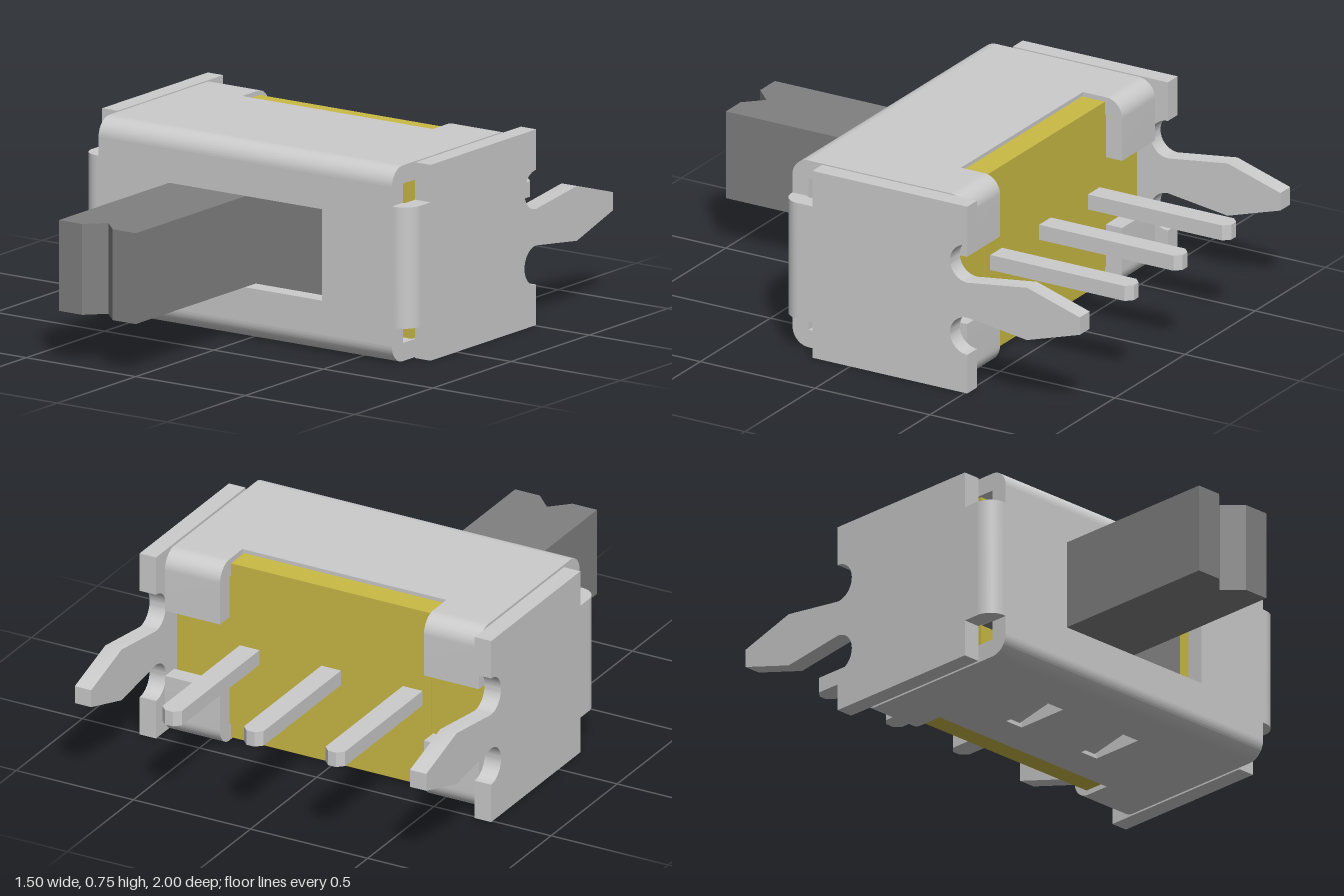
import * as THREE from 'three';
import { toCreasedNormals } from 'three/addons/utils/BufferGeometryUtils.js';

const H = 0.75;   // overall height
const T = 0.07;   // sheet thickness
const metal = new THREE.MeshStandardMaterial({ color: 0xcccccc });
const plastic = new THREE.MeshStandardMaterial({ color: 0xcaba45 });
const dark = new THREE.MeshStandardMaterial({ color: 0x808080 });

function add(parent, name, geometry, material) {
  const mesh = new THREE.Mesh(geometry, material);
  mesh.name = name;
  parent.add(mesh);
  return mesh;
}

// Box from its limits
function box(x0, x1, y0, y1, z0, z1) {
  return new THREE.BoxGeometry(x1 - x0, y1 - y0, z1 - z0)
    .translate((x0 + x1) / 2, (y0 + y1) / 2, (z0 + z1) / 2);
}

function polygon(points) {
  return new THREE.Shape(points.map(([a, b]) => new THREE.Vector2(a, b)));
}

function rect(x0, x1, y0, y1) {
  return polygon([[x0, y0], [x1, y0], [x1, y1], [x0, y1]]);
}

function extrude(shape, depth) {
  const g = new THREE.ExtrudeGeometry(shape, { depth, bevelEnabled: false, curveSegments: 12 });
  return toCreasedNormals(g, 0.5);
}

// Shape drawn in (z, y), swept from x0 to x1
function alongX(shape, x0, x1) {
  return extrude(shape, x1 - x0).rotateY(-Math.PI / 2).translate(x1, 0, 0);
}

// Shape drawn in (x, z), swept from y0 to y1
function alongY(shape, y0, y1) {
  return extrude(shape, y1 - y0).rotateX(Math.PI / 2).translate(0, y1, 0);
}

// Group turned half way round the z axis through the middle height
function turned(parent, name, half) {
  const g = new THREE.Group();
  g.name = name;
  if (half) {
    g.rotation.z = Math.PI;
    g.position.y = H;
  }
  parent.add(g);
  return g;
}

// Quarter-round bend with its centre at (a, b), bulging to +a and +b
function bend(a, b) {
  const s = new THREE.Shape();
  s.moveTo(a, b);
  s.lineTo(a + T, b);
  s.absarc(a, b, T, 0, Math.PI / 2, false);
  s.lineTo(a, b);
  return s;
}

// Side plate outline in (z, y) with relief cutouts and a locking leg
function sideShape() {
  const s = new THREE.Shape();
  s.moveTo(0.165, 0);
  s.lineTo(0.165, H);
  s.lineTo(-0.51, H);
  s.lineTo(-0.51, 0.595);
  s.absarc(-0.51, 0.52, 0.075, Math.PI / 2, -Math.PI / 2, true);
  s.lineTo(-0.77, 0.48);
  s.lineTo(-1, 0.41);
  s.lineTo(-1, 0.34);
  s.lineTo(-0.77, 0.27);
  s.lineTo(-0.51, 0.305);
  s.absarc(-0.51, 0.23, 0.075, Math.PI / 2, -Math.PI / 2, true);
  s.lineTo(-0.51, 0);
  return s;
}

// Rear retaining tab in (z, y): runs back, then folds down
function tabShape() {
  const s = new THREE.Shape();
  s.moveTo(-0.29, H);
  s.lineTo(-0.39, H);
  s.absarc(-0.39, H - T, T, Math.PI / 2, Math.PI, false);
  s.lineTo(-0.46, 0.51);
  s.lineTo(-0.39, 0.51);
  s.lineTo(-0.39, H - T);
  s.lineTo(-0.29, H - T);
  return s;
}

export function createModel() {
  const model = new THREE.Group();
  model.name = 'slideSwitch';

  // Sheet-metal shell
  const shell = new THREE.Group();
  shell.name = 'shell';
  model.add(shell);

  const front = rect(-0.67, 0.67, T, H - T);
  front.holes.push(rect(-0.35, 0.35, 0.2, 0.55));
  add(shell, 'frontPlate', extrude(front, T).translate(0, 0, 0.23), metal);

  for (const bottom of [false, true]) {
    const g = turned(shell, bottom ? 'bottomFold' : 'topFold', bottom);
    const plate = rect(-0.67, 0.67, -0.29, 0.23);
    if (bottom) {
      // Lanced slots with tongues pressed inward
      for (const x of [-0.195, 0.195]) {
        plate.holes.push(rect(x - 0.04, x + 0.04, -0.14, 0.08));
        const tongue = polygon([[-0.14, 0.735], [-0.14, 0.695], [0.01, 0.665], [0.01, 0.705]]);
        add(g, 'latchTongue', alongX(tongue, x - 0.03, x + 0.03), metal);
      }
    }
    add(g, 'plate', alongY(plate, H - T, H), metal);
    add(g, 'frontBend', alongX(bend(0.23, H - T), -0.67, 0.67), metal);
    add(g, 'rearTab', alongX(tabShape(), 0.435, 0.67), metal);
    add(g, 'rearTab', alongX(tabShape(), -0.67, -0.435), metal);
  }

  for (const right of [false, true]) {
    const g = turned(shell, right ? 'rightSide' : 'leftSide', right);
    add(g, 'sidePlate', alongX(sideShape(), 0.68, 0.75), metal);
    // Ear joining the side plate to the front
    add(g, 'earFront', box(0.67, 0.68, 0.143, 0.607, 0.23, 0.3), metal);
    add(g, 'earSide', box(0.68, 0.75, 0.143, 0.607, 0.165, 0.23), metal);
    const ear = bend(0.68, 0.23);
    add(g, 'earBend', alongY(ear, 0.143, 0.607), metal);
  }

  // Insulating body with a raised rear block between the tabs
  add(model, 'body', box(-0.66, 0.66, T, H - T, -0.388, 0.16), plastic);
  add(model, 'bodyRear', box(-0.428, 0.428, 0.015, H - 0.015, -0.39, -0.288), plastic);

  // Slider: carriage behind the window and a notched stem
  add(model, 'sliderCarriage', box(-0.655, 0.315, 0.155, 0.595, 0.155, 0.222), dark);
  const stem = polygon([
    [-0.35, 0.2], [0, 0.2], [0, 1], [-0.105, 1], [-0.175, 0.93], [-0.245, 1], [-0.35, 1],
  ]);
  add(model, 'sliderStem', alongY(stem, 0.201, 0.549), dark);

  // Terminals with chamfered tips
  for (const x of [-0.348, 0, 0.348]) {
    const w = 0.042;
    const pin = polygon([
      [x - w, -0.38], [x - w, -0.975], [x - w + 0.025, -1],
      [x + w - 0.025, -1], [x + w, -0.975], [x + w, -0.38],
    ]);
    add(model, 'terminal', alongY(pin, 0.345, 0.405), metal);
  }

  return model;
}
